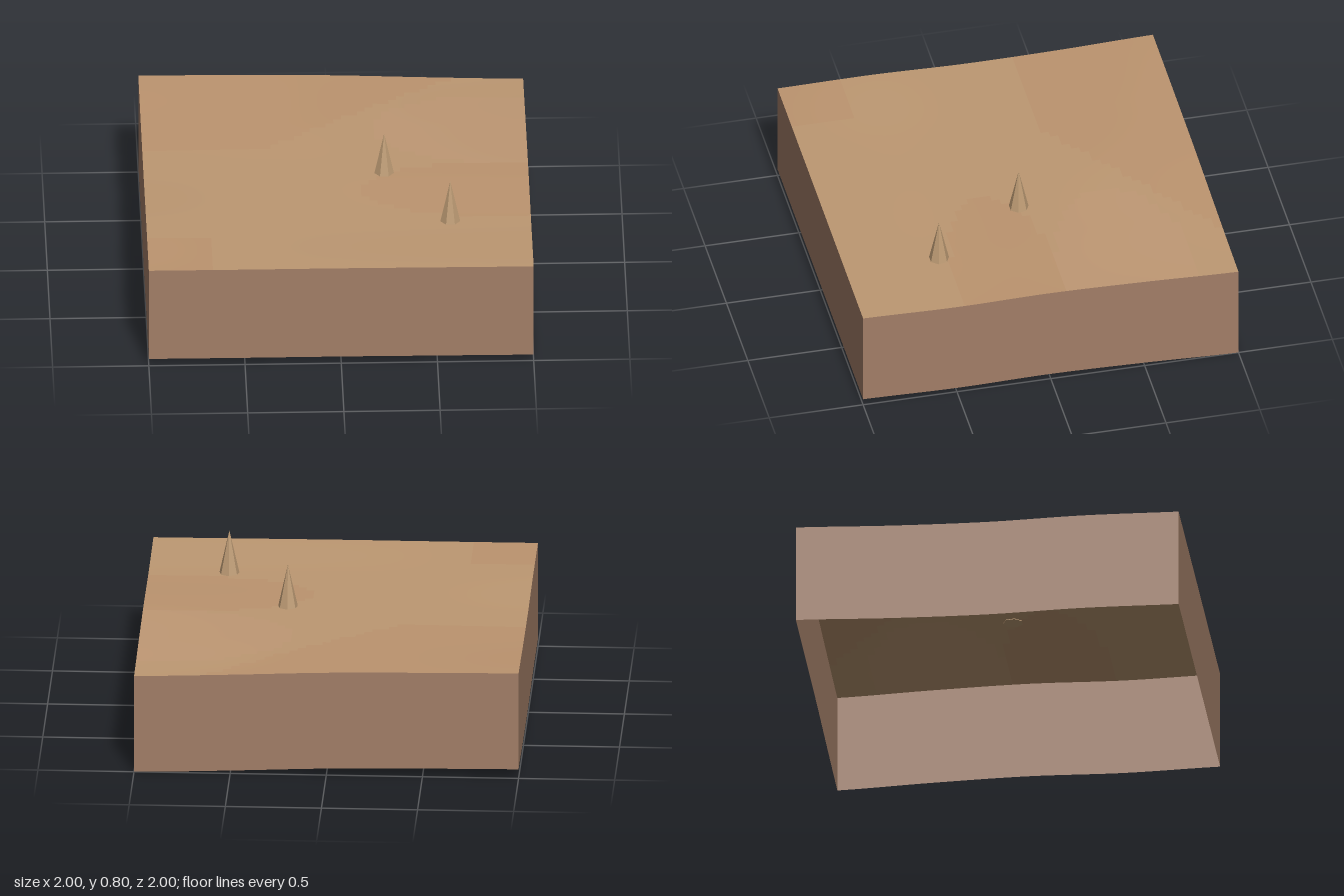
import * as THREE from 'three';

const N = 48;        // ground cells per side
const DEPTH = 0.53;  // height of the skirt walls

// Ground heights every 0.5 units: rows from back to front, columns along x
const HEIGHTS = [
  [0.580, 0.575, 0.566, 0.546, 0.530],
  [0.566, 0.568, 0.567, 0.558, 0.549],
  [0.562, 0.563, 0.564, 0.563, 0.561],
  [0.574, 0.566, 0.562, 0.558, 0.555],
  [0.571, 0.570, 0.570, 0.568, 0.566],
];

// Smooth curve through five evenly spaced values
function spline(v, t) {
  const s = THREE.MathUtils.clamp((t + 1) * 2, 0, 4);
  const i = Math.min(3, Math.floor(s)), f = s - i;
  const a = v[Math.max(0, i - 1)], b = v[i], c = v[i + 1], d = v[Math.min(4, i + 2)];
  return b + 0.5 * f * (c - a + f * (2 * a - 5 * b + 4 * c - d + f * (3 * (b - c) + d - a)));
}
const heightAt = (x, z) => spline(HEIGHTS.map((row) => spline(row, x)), z);

// Soil patch under a point: 0 sand, 1 clay, 2 pale clay
function soilAt(x, z) {
  const inside = (cx, cz, rx, rz) => ((x - cx) / rx) ** 2 + ((z - cz) / rz) ** 2 < 1;
  if (inside(0.8, 0.18, 0.68, 0.27)) return 1;
  if (x < -0.65 && z > 0.65) return 1;
  if (inside(0.85, -0.45, 0.65, 0.36)) return 2;
  if (z < -0.26 - 0.75 * Math.max(0, x + 0.35)) return 1;
  return 0;
}

function groundGeometry() {
  const geo = new THREE.PlaneGeometry(2, 2, N, N).rotateX(-Math.PI / 2);
  const pos = geo.attributes.position;
  for (let i = 0; i < pos.count; i++) pos.setY(i, heightAt(pos.getX(i), pos.getZ(i)));
  geo.computeVertexNormals();

  // Sort the cells by soil, one material group each
  const buckets = [[], [], []];
  const index = geo.index.array;
  for (let r = 0; r < N; r++) {
    for (let c = 0; c < N; c++) {
      const soil = soilAt(-1 + (2 * c + 1) / N, -1 + (2 * r + 1) / N);
      const start = 6 * (r * N + c);
      buckets[soil].push(...index.slice(start, start + 6));
    }
  }
  geo.setIndex(buckets.flat());
  geo.clearGroups();
  let start = 0;
  buckets.forEach((b, i) => {
    geo.addGroup(start, b.length, i);
    start += b.length;
  });
  return geo;
}

// Wall hanging from the ground edge between two corners
function wallGeometry([x0, z0], [x1, z1]) {
  const geo = new THREE.PlaneGeometry(1, 1, N, 1);
  const pos = geo.attributes.position;
  for (let i = 0; i < pos.count; i++) {
    const t = pos.getX(i) + 0.5;
    const x = x0 + (x1 - x0) * t, z = z0 + (z1 - z0) * t;
    pos.setXYZ(i, x, heightAt(x, z) - (pos.getY(i) < 0 ? DEPTH : 0), z);
  }
  geo.computeVertexNormals();
  return geo;
}

export function createModel() {
  const group = new THREE.Group();
  const material = (name, color, extra = {}) =>
    Object.assign(new THREE.MeshStandardMaterial({ color, ...extra }), { name });
  const open = { side: THREE.DoubleSide };
  const soils = [
    material('sand', 0xbd9872, open),
    material('clay', 0xbc946f, open),
    material('paleClay', 0xbf9874, open),
  ];
  const earth = material('earth', 0xa27e67, open);
  const stone = material('stone', 0xbd9b74, { flatShading: true });

  const add = (name, geometry, mat) => {
    const mesh = new THREE.Mesh(geometry, mat);
    mesh.name = name;
    group.add(mesh);
    return mesh;
  };

  add('ground', groundGeometry(), soils);

  // Four skirt walls, open underneath
  const corners = [[-1, 1], [1, 1], [1, -1], [-1, -1]];
  ['frontWall', 'leftWall', 'backWall', 'rightWall'].forEach((name, i) =>
    add(name, wallGeometry(corners[i], corners[(i + 1) % 4]), earth));

  // Seven-sided spikes
  [[0.25, 0], [0.58, 0.5]].forEach(([x, z], i) => {
    const spike = add(`spike${i + 1}`, new THREE.ConeGeometry(0.053, 0.235, 7), stone);
    spike.position.set(x, 0.6775, z);
    spike.rotation.y = Math.PI;
  });

  return group;
}
